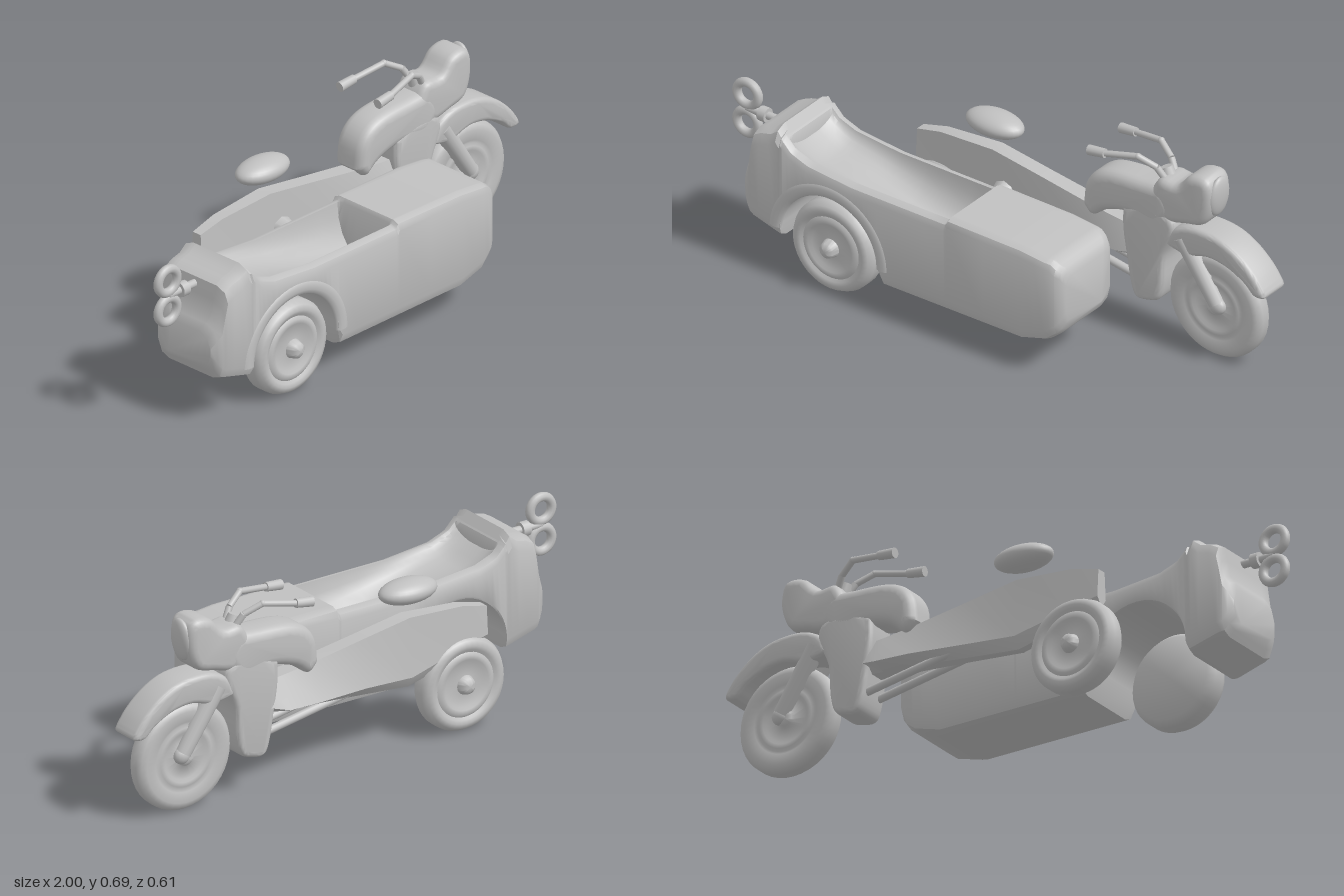
import * as THREE from 'three';
import { toCreasedNormals } from 'three/addons/utils/BufferGeometryUtils.js';

const BIKE_Z = -0.2, CAR_Z = 0.125;

export function createModel() {
  const root = new THREE.Group();
  const grey = new THREE.MeshStandardMaterial({ color: 0xc0c0c0 });
  grey.name = 'plain grey';
  grey.side = THREE.DoubleSide;

  function add(name, geo, x = 0, y = 0, z = 0, parent = root) {
    const m = new THREE.Mesh(geo, grey);
    m.name = name;
    m.position.set(x, y, z);
    parent.add(m);
    return m;
  }
  const V = (p) => new THREE.Vector3(...p);

  // Rod between two points
  function rod(name, a, b, r1, r2 = r1) {
    const A = V(a), B = V(b), d = B.clone().sub(A);
    const m = add(name, new THREE.CylinderGeometry(r2, r1, d.length(), 14));
    m.position.copy(A).add(B).multiplyScalar(0.5);
    m.quaternion.setFromUnitVectors(new THREE.Vector3(0, 1, 0), d.normalize());
    return m;
  }

  // Side profile given thickness in z with rounded edges
  function slab(name, pts, width, bevel, z) {
    const curve = new THREE.SplineCurve([...pts, pts[0]].map((p) => new THREE.Vector2(...p)));
    const shape = new THREE.Shape(curve.getPoints(pts.length * 4).slice(0, -1));
    const geo = new THREE.ExtrudeGeometry(shape, {
      depth: width - 2 * bevel, bevelEnabled: true, bevelSize: bevel,
      bevelThickness: bevel, bevelOffset: -bevel, bevelSegments: 4,
    });
    geo.translate(0, 0, -(width - 2 * bevel) / 2);
    return add(name, toCreasedNormals(geo, 0.7), 0, 0, z);
  }

  // Skin over equal-length rings that run along +x
  function loft(rings, crease) {
    const n = rings[0].length, idx = [];
    for (let i = 0; i < rings.length - 1; i++) {
      for (let j = 0; j < n; j++) {
        const a = i * n + j, b = i * n + (j + 1) % n;
        idx.push(a, b, b + n, a, b + n, a + n);
      }
    }
    const last = (rings.length - 1) * n;
    for (let j = 1; j < n - 1; j++) idx.push(0, j + 1, j, last, last + j, last + j + 1);
    const geo = new THREE.BufferGeometry();
    geo.setAttribute('position', new THREE.Float32BufferAttribute(rings.flat(2), 3));
    geo.setIndex(idx);
    return toCreasedNormals(geo, crease);
  }

  // Linear interpolation through [x, value] pairs
  function lerpAt(table, x) {
    let i = 1;
    while (i < table.length - 1 && table[i][0] < x) i++;
    const [x0, v0] = table[i - 1], [x1, v1] = table[i];
    return v0 + (v1 - v0) * THREE.MathUtils.clamp((x - x0) / (x1 - x0), 0, 1);
  }

  // Sidecar body: wheel arch below, trough-shaped cockpit above
  const topLine = [[-0.86, 0.34], [-0.845, 0.37], [-0.825, 0.4], [-0.815, 0.5], [-0.78, 0.52], [-0.74, 0.53], [-0.71, 0.553],
    [-0.685, 0.52], [-0.65, 0.485], [-0.58, 0.46], [-0.4, 0.443], [-0.01, 0.443], [0, 0.46], [0.3, 0.457], [0.42, 0.445], [0.455, 0.42], [0.47, 0.39]];
  const bottomLine = [[-0.86, 0.22], [-0.83, 0.17], [-0.7, 0.135], [-0.67, 0.13], [-0.3, 0.097], [0.3, 0.1], [0.4, 0.13], [0.45, 0.17], [0.47, 0.21]];
  const widthLine = [[-0.86, 0.12], [-0.84, 0.143], [-0.81, 0.153], [-0.7, 0.155], [0.4, 0.155], [0.44, 0.148], [0.46, 0.135], [0.47, 0.12]];
  const floorLine = [[-0.68, 0.47], [-0.6, 0.42], [-0.48, 0.39], [-0.25, 0.32], [-0.01, 0.26]];
  const wheelX = -0.49, archY = 0.165, archR = 0.2;
  const stations = [-0.86, -0.845, -0.83, -0.82, -0.81, -0.78, -0.74, -0.71, -0.695];
  for (let k = 0; k <= 20; k++) stations.push(wheelX - archR * Math.cos((Math.PI * k) / 20));
  stations.push(-0.685, -0.68, -0.675, -0.27, -0.2, -0.1, -0.015, -0.008, 0, 0.15, 0.3, 0.36, 0.4, 0.42, 0.44, 0.455, 0.463, 0.47);
  stations.sort((a, b) => a - b);
  const body = stations.map((x) => {
    const d = archR * archR - (x - wheelX) ** 2;
    const inArch = d > -1e-6;
    const b = inArch ? archY + Math.sqrt(Math.max(d, 0)) : lerpAt(bottomLine, x);
    const t = lerpAt(topLine, x), w = lerpAt(widthLine, x);
    const open = x > -0.678 && x < -0.01;
    const c = x < -0.69 ? 0.05 : 0.03, e = inArch ? 0.012 : 0.045;
    const wi = open ? 0.12 : w - c - 0.006;
    const floor = open ? Math.min(lerpAt(floorLine, x), t - 0.01) : t;
    const half = [[w - e, b], [w - e * 0.3, b + e * 0.3], [w, b + e], [w, t - c], [w - c * 0.3, t - c * 0.3], [w - c, t]];
    for (let k = 0; k < 5; k++) {
      const a = (k * Math.PI) / 10;
      half.push([wi * Math.cos(a), t - (t - floor) * Math.sin(a)]);
    }
    const left = half.map(([u, y]) => [-u, y]).reverse();
    return [...half, ...left].map(([u, y]) => [x, y, CAR_Z - u]);
  });
  add('sidecarBody', loft(body, 0.6));

  // Raised lip around the sidecar wheel arch
  const lip = add('wheelArchLip', new THREE.TorusGeometry(0.222, 0.026, 10, 40, Math.PI * 0.98), wheelX, archY, 0.272);
  lip.scale.z = 0.5;

  // Turned wheel: tyre, shallow disc with a raised ring, and hub
  function wheel(name, x, r, z, half, hub, plainBack) {
    const face = [[0, hub], [0.015, hub * 0.97], [0.027, hub * 0.85], [0.034, half * 0.8], [0.08, half * 0.75], [0.09, half * 0.92],
      [0.105, half * 0.92], [0.115, half * 0.78], [0.125, half * 0.9], [r - 0.03, half], [r - 0.012, half * 0.85], [r, half * 0.4]];
    const back = plainBack ? [[r, -half * 0.5], [r - 0.02, -half], [0, -half]]
      : face.map(([p, q]) => [p, -q]).reverse();
    const pts = [...face, ...back].reverse().map((p) => new THREE.Vector2(...p));
    const m = add(name, toCreasedNormals(new THREE.LatheGeometry(pts, 40), 0.9), x, r, z);
    m.rotation.x = Math.PI / 2;
  }
  wheel('sidecarWheel', wheelX, 0.167, 0.225, 0.05, 0.078, true);
  wheel('rearWheel', -0.37, 0.167, BIKE_Z, 0.045, 0.066, false);
  wheel('frontWheel', 0.77, 0.192, BIKE_Z, 0.037, 0.045, false);

  // Wind-up key at the tail
  const key = new THREE.Group();
  key.name = 'windUpKey';
  key.position.set(-0.94, 0.478, CAR_Z);
  root.add(key);
  for (const s of [-1, 1]) {
    add('keyLoop', new THREE.TorusGeometry(0.043, 0.016, 10, 28), 0, s * 0.054, 0, key).scale.x = 1.02;
  }
  add('keyShaft', new THREE.CylinderGeometry(0.014, 0.014, 0.15, 12), 0.075, 0, 0, key).rotation.z = Math.PI / 2;
  add('keyCollar', new THREE.CylinderGeometry(0.026, 0.026, 0.03, 14), 0.07, 0, 0, key).rotation.z = Math.PI / 2;

  // Tank, lamp housing and down column
  slab('fuelTank', [[0.24, 0.41], [0.25, 0.49], [0.29, 0.545], [0.36, 0.573], [0.48, 0.582], [0.58, 0.58], [0.62, 0.5],
    [0.55, 0.43], [0.44, 0.44], [0.34, 0.415], [0.28, 0.375]], 0.13, 0.035, BIKE_Z);
  slab('downColumn', [[0.41, 0.46], [0.5, 0.5], [0.6, 0.49], [0.625, 0.43], [0.585, 0.33], [0.578, 0.22], [0.56, 0.155],
    [0.52, 0.135], [0.47, 0.13], [0.445, 0.17], [0.425, 0.28], [0.41, 0.38]], 0.13, 0.02, BIKE_Z);
  slab('lampHousing', [[0.52, 0.56], [0.56, 0.62], [0.63, 0.62], [0.68, 0.67], [0.74, 0.682], [0.77, 0.65], [0.77, 0.57],
    [0.74, 0.505], [0.67, 0.482], [0.58, 0.47]], 0.128, 0.028, BIKE_Z);
  const lamp = add('headlamp', new THREE.SphereGeometry(1, 28, 18), 0.765, 0.603, BIKE_Z);
  lamp.scale.set(0.022, 0.075, 0.051);
  lamp.rotation.z = -0.08;

  // Front mudguard and fork
  slab('frontMudguard', [[0.585, 0.38], [0.61, 0.44], [0.67, 0.475], [0.74, 0.483], [0.82, 0.473], [0.89, 0.44], [0.95, 0.39], [0.985, 0.345],
    [0.997, 0.32], [0.985, 0.308], [0.95, 0.31], [0.91, 0.345], [0.84, 0.378], [0.76, 0.388], [0.67, 0.365]], 0.127, 0.018, BIKE_Z);
  for (const s of [-1, 1]) {
    const zf = BIKE_Z + s * 0.035;
    rod('forkLeg', [0.645, 0.42, zf], [0.785, 0.21, zf], 0.034, 0.028);
    add('forkEnd', new THREE.SphereGeometry(0.03, 14, 10), 0.79, 0.203, zf).scale.z = 0.8;

    // Handlebar with a sharp elbow, and grip
    const z = (d) => BIKE_Z + s * d;
    const elbow = [0.48, 0.682, z(0.064)], end = [0.36, 0.66, z(0.085)];
    rod('handlebarRise', [0.565, 0.61, z(0.028)], [0.54, 0.65, z(0.04)], 0.012);
    rod('handlebarTop', [0.54, 0.65, z(0.04)], elbow, 0.011);
    rod('handlebarReach', elbow, end, 0.011);
    add('handlebarElbow', new THREE.SphereGeometry(0.012, 12, 8), ...elbow);
    rod('handGrip', end, [0.295, 0.652, z(0.088)], 0.016, 0.018);
  }
  rod('steeringStem', [0.58, 0.56, BIKE_Z], [0.55, 0.64, BIKE_Z], 0.035, 0.02);

  // Saddle
  add('saddle', new THREE.SphereGeometry(1, 28, 18), -0.16, 0.547, BIKE_Z).scale.set(0.112, 0.042, 0.066);

  // Angular frame: x, bottom, widest and top heights, outer reach, inner reach, top half width
  const frame = [[-0.47, 0.3, 0.32, 0.42, 0.025, 0.025, 0.018], [-0.37, 0.26, 0.3, 0.445, 0.03, 0.03, 0.022],
    [-0.15, 0.21, 0.25, 0.46, 0.042, 0.035, 0.028], [0.05, 0.23, 0.265, 0.43, 0.055, 0.035, 0.028],
    [0.25, 0.25, 0.275, 0.4, 0.08, 0.045, 0.03], [0.38, 0.26, 0.28, 0.385, 0.085, 0.06, 0.03], [0.46, 0.27, 0.3, 0.38, 0.06, 0.06, 0.03]]
    .map(([x, b, m, t, out, inn, tw]) => [[out * 0.4, b], [out, m], [tw, t], [-tw, t], [-inn, m], [-inn * 0.4, b]]
      .map(([u, y]) => [x, y, BIKE_Z - u]));
  add('bikeFrame', loft(frame, 0.4));

  // Coupling spike and lower tubes
  const spike = add('couplingSpike', new THREE.ConeGeometry(0.045, 0.12, 8), -0.1, 0.315, -0.11);
  spike.rotation.x = Math.PI / 2;
  for (const s of [-1, 1]) {
    rod('lowerTube', [0.46, 0.2, BIKE_Z + s * 0.035], [0.1, 0.26, BIKE_Z + s * 0.035], 0.014);
  }
  return root;
}
